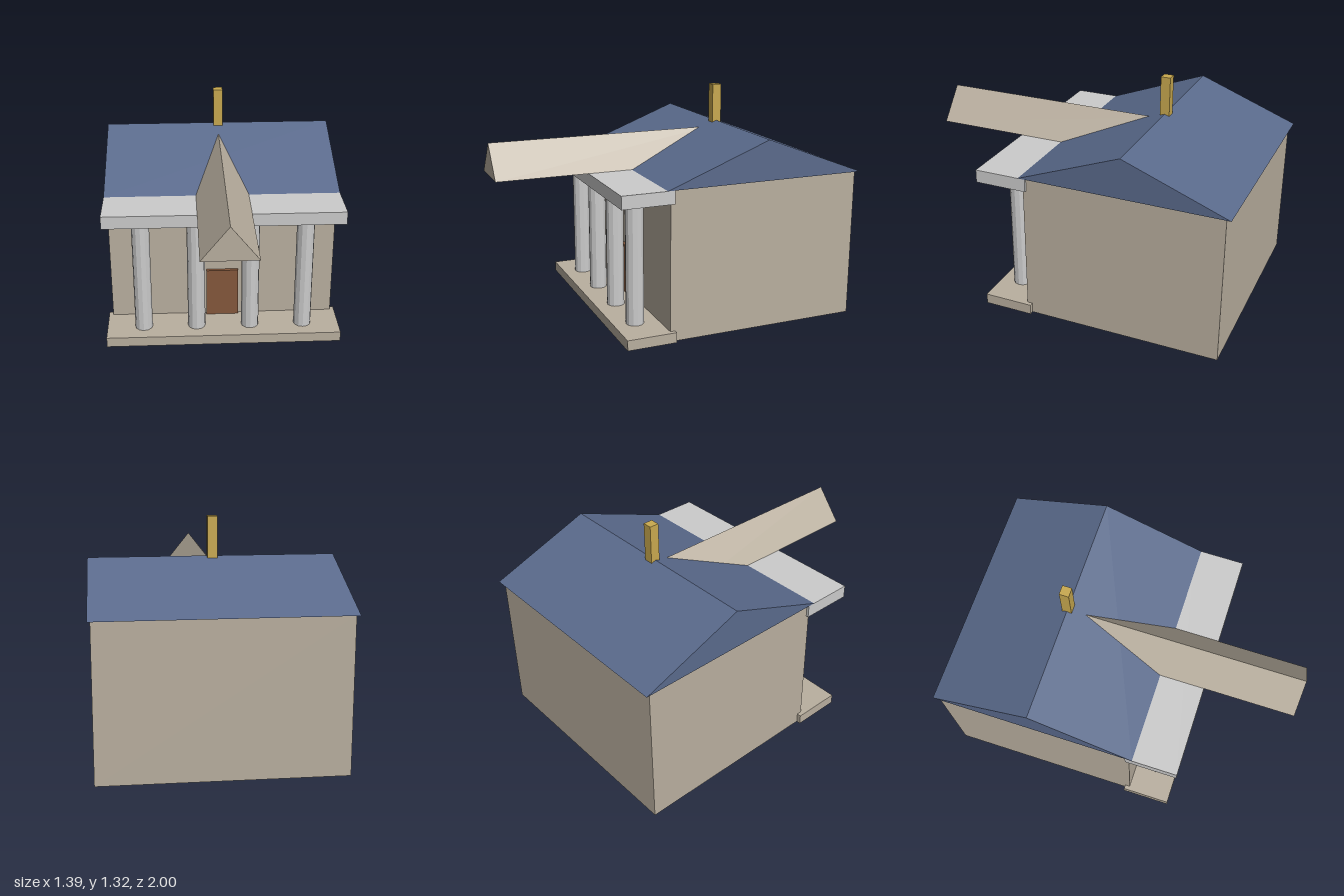
import * as THREE from 'three';

const paint = (color) => {
  const m = new THREE.MeshStandardMaterial({ flatShading: true });
  m.color.set(color);
  return m;
};

export function createModel() {
  const model = new THREE.Group();
  const stone = paint(0xb9af9f);
  const white = paint(0xdcddd9);
  const slate = paint(0x5a6a8c);
  const wood = paint(0x85583c);
  const gold = paint(0xc9a94f);

  const add = (name, geometry, material) => {
    const mesh = new THREE.Mesh(geometry, material);
    mesh.name = name;
    model.add(mesh);
    return mesh;
  };

  // Box given by half width and its y and z ranges, centred on x = 0
  const block = (name, halfX, [y0, y1], [z0, z1], material) =>
    add(name, new THREE.BoxGeometry(halfX * 2, y1 - y0, z1 - z0), material)
      .position.set(0, (y0 + y1) / 2, (z0 + z1) / 2);

  // Triangular prism extruded along +z from its base line
  const prism = (halfBase, height, length) => {
    const s = new THREE.Shape();
    s.moveTo(-halfBase, 0);
    s.lineTo(halfBase, 0);
    s.lineTo(0, height);
    s.closePath();
    return new THREE.ExtrudeGeometry(s, { depth: length, bevelEnabled: false });
  };

  // Hall and porch
  block('hall', 0.67, [0, 0.865], [-0.97, 0.18], stone);
  block('porchStep', 0.695, [0, 0.06], [0.15, 0.44], stone);
  block('entablature', 0.685, [0.79, 0.865], [0.16, 0.465], white);
  block('door', 0.096, [0.06, 0.365], [0.17, 0.2], wood);

  // Columns
  for (const x of [-0.477, -0.16, 0.16, 0.477]) {
    add('column', new THREE.CylinderGeometry(0.052, 0.052, 0.73, 12), white)
      .position.set(x, 0.425, 0.315);
  }

  // Main roof, its ridge running along x
  const roof = add('roof', prism(0.6, 0.23, 1.37), slate);
  roof.rotation.y = Math.PI / 2;
  roof.position.set(-0.685, 0.865, -0.398);

  // Long gable over the entrance, running into the roof
  add('entranceGable', prism(0.153, 0.19, 1.36), stone).position.set(0, 0.866, -0.36);

  // Finial on the ridge
  block('finial', 0.028, [1.08, 1.315], [-0.426, -0.37], gold);

  return model;
}
